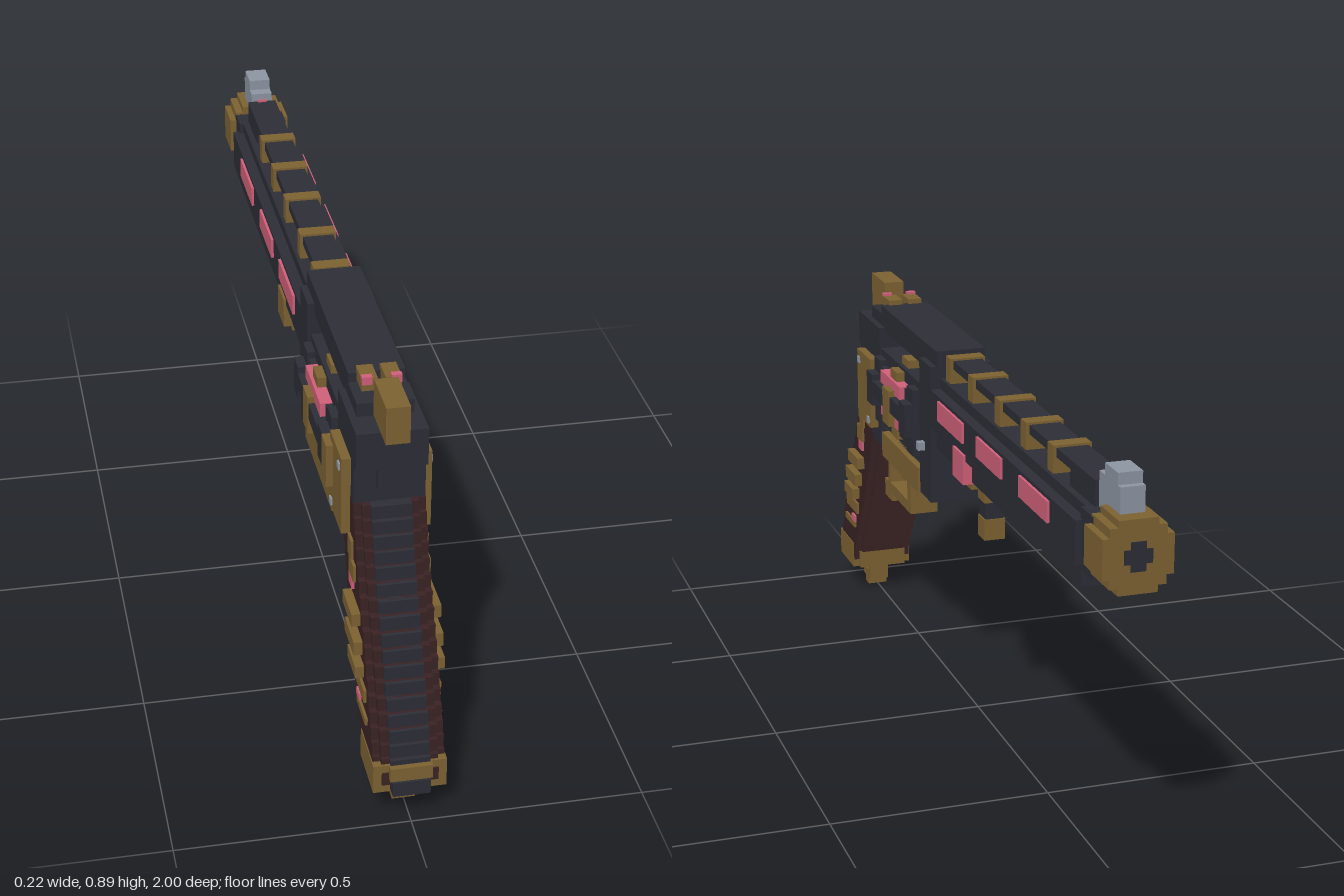
import * as THREE from 'three';

const material = (name, color) => {
  const m = new THREE.MeshStandardMaterial({ color });
  m.name = name;
  return m;
};

export function createModel() {
  const root = new THREE.Group();
  root.name = 'revolver';
  const dark = material('darkSteel', 0x2d2e37);
  const brown = material('darkWood', 0x3a2324);
  const gold = material('brass', 0x7e6333);
  const pink = material('pinkInlay', 0xd2627a);
  const grey = material('paleSteel', 0x8f97a4);

  // Box given by its limits on each axis
  const box = (name, mat, x0, x1, y0, y1, z0, z1) => {
    const geo = new THREE.BoxGeometry(Math.abs(x1 - x0), Math.abs(y1 - y0), Math.abs(z1 - z0));
    const mesh = new THREE.Mesh(geo, mat);
    mesh.name = name;
    mesh.position.set((x0 + x1) / 2, (y0 + y1) / 2, (z0 + z1) / 2);
    root.add(mesh);
    return mesh;
  };
  // Box centred on x
  const mid = (name, mat, w, y0, y1, z0, z1) => box(name, mat, -w, w, y0, y1, z0, z1);
  // Mirrored pair of boxes
  const pair = (name, mat, x0, x1, y0, y1, z0, z1) => {
    box(name + 'Left', mat, x0, x1, y0, y1, z0, z1);
    box(name + 'Right', mat, -x1, -x0, y0, y1, z0, z1);
  };

  // Barrel with stepped section
  mid('barrel', dark, 0.075, 0.67, 0.765, 0.13, -0.85);
  mid('barrelTop', dark, 0.05, 0.765, 0.79, 0.13, -0.9);
  mid('barrelUnderside', dark, 0.06, 0.62, 0.67, 0.13, -0.845);
  mid('barrelNeck', dark, 0.06, 0.66, 0.79, -0.84, -0.91);

  // Vented rib carried by brass bands
  mid('rib', dark, 0.035, 0.825, 0.845, 0.13, -0.85);
  mid('ribFrontPost', dark, 0.035, 0.78, 0.83, -0.71, -0.85);
  mid('ribRearPost', dark, 0.035, 0.78, 0.83, 0.105, 0.13);
  for (const z of [0.095, -0.075, -0.265, -0.44, -0.61]) {
    mid('ribBand', gold, 0.042, 0.78, 0.85, z - 0.018, z + 0.018);
  }

  // Inlays along the barrel sides
  for (const [z0, z1] of [[0.06, -0.13], [-0.23, -0.4], [-0.52, -0.7]]) {
    pair('barrelInlay', pink, 0.07, 0.081, 0.71, 0.757, z0, z1);
  }

  // Studs under the barrel
  mid('undersideStrip', gold, 0.025, 0.613, 0.625, -0.67, -0.78);
  for (let i = 0; i < 8; i++) {
    const z = -0.25 - i * 0.055;
    mid('undersideStud', i % 2 ? gold : grey, 0.014, 0.61, 0.625, z, z - 0.028);
  }

  // Post below the barrel
  box('postClampLeft', pink, 0.05, 0.081, 0.615, 0.685, -0.06, -0.14);
  box('postClampRight', gold, -0.081, -0.05, 0.615, 0.685, -0.06, -0.14);
  mid('postCollar', gold, 0.06, 0.6, 0.63, -0.065, -0.135);
  mid('postTop', gold, 0.025, 0.56, 0.6, -0.077, -0.125);
  mid('postGrip', dark, 0.022, 0.52, 0.56, -0.08, -0.122);
  mid('postEnd', gold, 0.025, 0.47, 0.52, -0.077, -0.125);
  mid('postGem', pink, 0.012, 0.466, 0.472, -0.09, -0.112);

  // Muzzle: stepped octagonal ring and dark bore
  mid('muzzleWide', gold, 0.075, 0.69, 0.775, -0.9, -1);
  mid('muzzleMiddle', gold, 0.06, 0.67, 0.795, -0.9, -1);
  mid('muzzleTall', gold, 0.042, 0.655, 0.81, -0.9, -1);
  mid('boreWide', dark, 0.03, 0.718, 0.748, -0.99, -1.002);
  mid('boreTall', dark, 0.016, 0.702, 0.764, -0.99, -1.002);

  // Front sight
  mid('frontSightBase', grey, 0.026, 0.785, 0.865, -0.85, -0.965);
  mid('frontSightTop', grey, 0.026, 0.865, 0.89, -0.88, -0.95);
  mid('frontSightDot', pink, 0.011, 0.825, 0.85, -0.843, -0.852);

  // Frame around the cylinder
  mid('topStrap', dark, 0.06, 0.795, 0.856, 0.13, 0.6);
  mid('frameFront', dark, 0.075, 0.485, 0.82, 0.13, 0.22);
  mid('frameBottom', dark, 0.065, 0.487, 0.545, 0.2, 0.59);
  pair('frameBottomPlate', gold, 0.06, 0.081, 0.483, 0.545, 0.22, 0.535);
  mid('frameRear', dark, 0.075, 0.5, 0.72, 0.57, 0.74);
  mid('frameRearTop', dark, 0.075, 0.72, 0.805, 0.57, 0.76);
  mid('frameRearCrown', dark, 0.06, 0.805, 0.835, 0.57, 0.69);
  mid('frameBackSpur', dark, 0.028, 0.67, 0.72, 0.73, 0.757);
  pair('frameStud', grey, 0.075, 0.092, 0.602, 0.622, 0.178, 0.196);

  // Side plates, their screws and the loading gate
  pair('sidePlate', gold, 0.07, 0.095, 0.54, 0.72, 0.59, 0.71);
  for (const [y, z] of [[0.695, 0.69], [0.558, 0.607]]) {
    pair('plateScrew', grey, 0.09, 0.099, y - 0.008, y + 0.008, z - 0.008, z + 0.008);
  }
  box('loadingGate', gold, -0.11, -0.09, 0.6, 0.7, 0.57, 0.62);

  // Fluted cylinder
  mid('cylinderCore', dark, 0.065, 0.56, 0.742, 0.235, 0.57);
  mid('cylinderShoulder', dark, 0.085, 0.585, 0.72, 0.25, 0.555);
  pair('cylinderSideRidge', dark, 0.07, 0.109, 0.645, 0.685, 0.235, 0.57);
  for (const [y0, y1] of [[0.555, 0.6], [0.715, 0.753]]) {
    mid('cylinderRidge', dark, 0.07, y0, y1, 0.235, 0.57);
  }
  for (const [z0, z1] of [[0.235, 0.285], [0.52, 0.57]]) {
    mid('cylinderRim', dark, 0.109, 0.62, 0.7, z0, z1);
    mid('cylinderRimTall', dark, 0.088, 0.57, 0.735, z0, z1);
  }
  mid('cylinderPin', dark, 0.03, 0.63, 0.68, 0.21, 0.24);
  for (const y of [0.608, 0.69]) {
    pair('cylinderInlay', pink, 0.065, 0.097, y, y + 0.032, 0.315, 0.485);
  }
  mid('cylinderBandTall', gold, 0.06, 0.545, 0.773, 0.363, 0.417);
  mid('cylinderBandMiddle', gold, 0.09, 0.575, 0.745, 0.363, 0.417);
  mid('cylinderBandWide', gold, 0.112, 0.61, 0.7, 0.363, 0.417);

  // Hammer and rear sight
  mid('hammer', gold, 0.025, 0.806, 0.89, 0.69, 0.81);
  mid('hammerStem', dark, 0.025, 0.79, 0.83, 0.65, 0.74);
  pair('rearSight', gold, 0.008, 0.042, 0.84, 0.868, 0.59, 0.65);
  pair('rearSightInlay', pink, 0.02, 0.042, 0.856, 0.874, 0.64, 0.654);

  // Trigger and guard
  mid('trigger', gold, 0.02, 0.435, 0.49, 0.525, 0.57);
  mid('triggerTip', gold, 0.02, 0.405, 0.445, 0.54, 0.575);
  mid('guardFront', gold, 0.035, 0.35, 0.49, 0.44, 0.47);
  mid('guardBottom', gold, 0.035, 0.35, 0.378, 0.44, 0.64);
  mid('guardRear', gold, 0.035, 0.36, 0.5, 0.625, 0.643);
  mid('guardFoot', gold, 0.035, 0.33, 0.375, 0.61, 0.675);

  // Grip: stepped slices following a front and a rear curve
  const follow = (points, y) => {
    let i = 0;
    while (i < points.length - 2 && y > points[i + 1][0]) i++;
    const [a, b] = [points[i], points[i + 1]];
    return THREE.MathUtils.mapLinear(y, a[0], b[0], a[1], b[1]);
  };
  const rear = [[0.1, 0.985], [0.2, 0.955], [0.365, 0.875], [0.5, 0.8], [0.63, 0.75]];
  const front = [[0.1, 0.84], [0.2, 0.78], [0.31, 0.715], [0.405, 0.67], [0.5, 0.63], [0.63, 0.66]];
  const slices = 18, low = 0.09, high = 0.632;
  for (let i = 0; i < slices; i++) {
    const y0 = low + (high - low) * i / slices;
    const y1 = low + (high - low) * (i + 1) / slices;
    const y = (y0 + y1) / 2;
    const zr = follow(rear, y), zf = follow(front, y);
    mid('gripSlice', brown, 0.06, y0, y1, zf, zr);
    pair('gripPanel', brown, 0.05, 0.076, y0, y1, zf + 0.012, zr - 0.012);
    mid('backStrap', dark, 0.042, y0, y1, zr - 0.03, zr + 0.008);
  }

  // Brass ribs and inlays on the grip sides
  for (const [y0, y1, z0, z1] of [
    [0.46, 0.5, 0.725, 0.775], [0.5, 0.545, 0.715, 0.75], [0.385, 0.415, 0.73, 0.825],
    [0.33, 0.362, 0.755, 0.85], [0.285, 0.313, 0.785, 0.868], [0.24, 0.27, 0.79, 0.895],
    [0.193, 0.21, 0.82, 0.91],
  ]) {
    pair('gripRib', gold, 0.07, y0 > 0.27 && y0 < 0.42 ? 0.095 : 0.082, y0, y1, z0, z1);
  }
  pair('gripInlayUpper', pink, 0.07, 0.082, 0.435, 0.458, 0.728, 0.762);
  pair('gripInlayLower', pink, 0.07, 0.082, 0.208, 0.226, 0.818, 0.846);

  // Butt cap and lanyard ring
  pair('buttCap', gold, 0.042, 0.078, 0.07, 0.138, 0.85, 0.98);
  mid('buttCapCentre', gold, 0.062, 0.07, 0.138, 0.835, 0.97);
  mid('buttCapBand', gold, 0.045, 0.105, 0.138, 0.96, 0.995);
  mid('buttHeel', dark, 0.04, 0.07, 0.105, 0.95, 1);
  mid('ringTop', gold, 0.025, 0.057, 0.075, 0.87, 0.945);
  mid('ringBottom', gold, 0.025, 0.018, 0.04, 0.875, 0.94);
  mid('ringTip', gold, 0.025, 0, 0.02, 0.89, 0.922);
  for (const z of [0.872, 0.925]) mid('ringSide', gold, 0.025, 0.035, 0.06, z, z + 0.018);

  return root;
}
